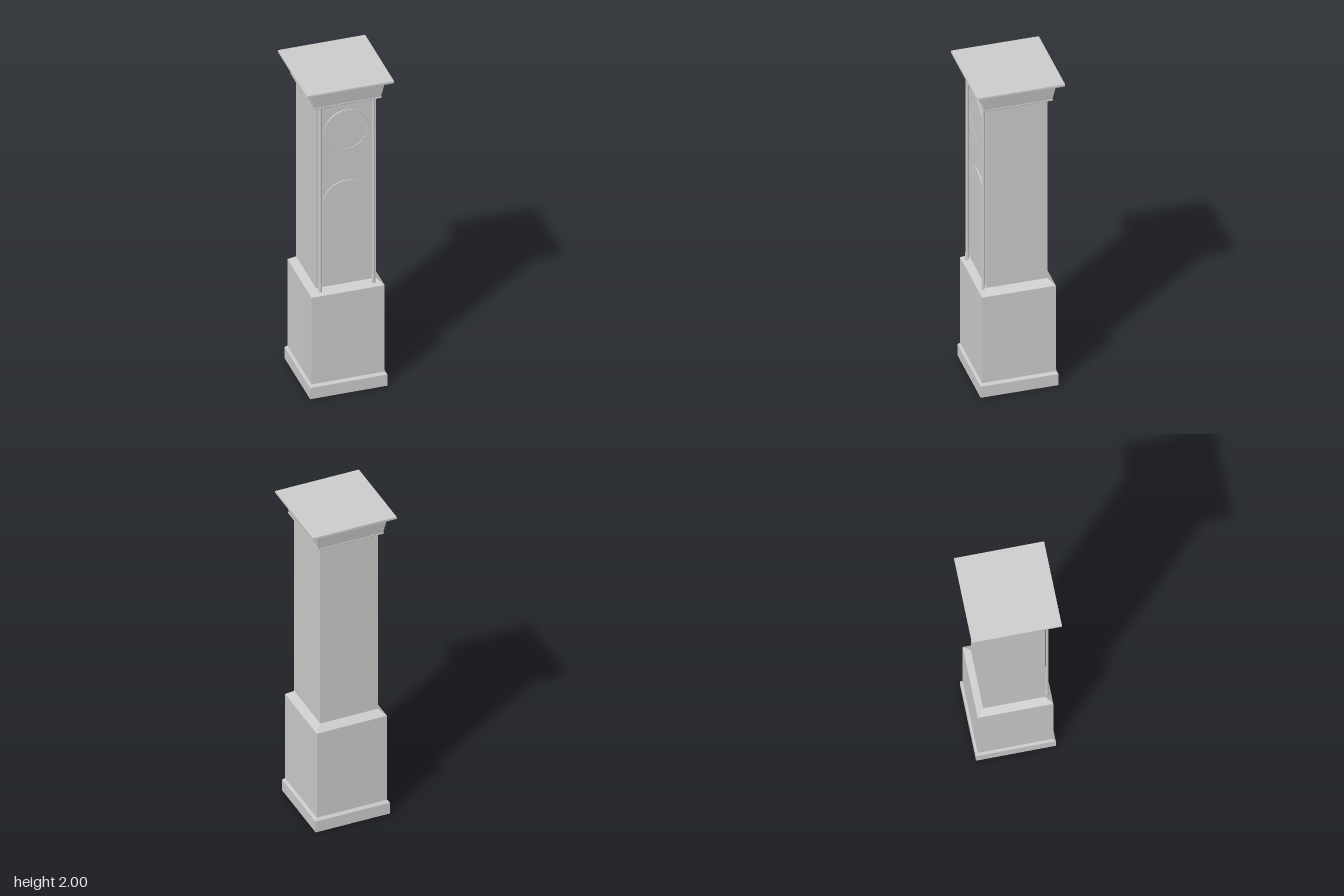
import * as THREE from 'three';

const material = new THREE.MeshStandardMaterial({ color: 0xcccccc, flatShading: true });
const smooth = new THREE.MeshStandardMaterial({ color: 0xcccccc });

function add(parent, name, geometry, mat = material) {
  const mesh = new THREE.Mesh(geometry, mat);
  mesh.name = name;
  parent.add(mesh);
  return mesh;
}

// Square moulding: profile of [half width, height], listed from bottom to top
function squareMoulding(profile) {
  const points = profile.map(([half, y]) => new THREE.Vector2(half * Math.SQRT2, y));
  return new THREE.LatheGeometry(points, 4).rotateY(Math.PI / 4);
}

export function createModel() {
  const clock = new THREE.Group();
  clock.name = 'longcaseClock';
  const front = 0.175;

  // Plinth with a sloped top edge
  add(clock, 'plinth', squareMoulding([[0, 0], [0.225, 0], [0.225, 0.073], [0.213, 0.088], [0, 0.088]]));

  // Lower case, sloping in to the trunk
  add(clock, 'lowerCase', squareMoulding([[0.213, 0.08], [0.213, 0.652], [0.175, 0.686], [0, 0.686]]));

  // Trunk
  add(clock, 'trunk', new THREE.BoxGeometry(0.35, 1.2, 0.35)).position.y = 1.28;

  // Flared cornice and top slab
  add(clock, 'cornice', squareMoulding([
    [0, 1.864], [0.193, 1.864], [0.2, 1.87], [0.2, 1.877], [0.197, 1.877], [0.215, 1.978], [0, 1.978],
  ]));
  add(clock, 'topSlab', squareMoulding([
    [0, 1.975], [0.238, 1.975], [0.254, 1.987], [0.254, 2], [0, 2],
  ]));

  // Arched door
  const arch = new THREE.Shape();
  arch.moveTo(-0.139, 0.72);
  arch.lineTo(0.139, 0.72);
  arch.lineTo(0.139, 1.22);
  arch.absarc(0, 1.22, 0.139, 0, Math.PI, false);
  arch.closePath();
  add(clock, 'door', new THREE.ExtrudeGeometry(arch, { depth: 0.007, bevelEnabled: false, curveSegments: 24 }))
    .position.z = front;

  // Dial with a thin rim
  const dial = add(clock, 'dial', new THREE.CylinderGeometry(0.128, 0.128, 0.006, 48).rotateX(Math.PI / 2));
  dial.position.set(0, 1.69, front + 0.003);
  const rim = add(clock, 'dialRim', new THREE.TorusGeometry(0.127, 0.003, 8, 48), smooth);
  rim.position.set(0, 1.69, front + 0.005);

  // Slender columns either side of the front
  for (const side of [-1, 1]) {
    const column = new THREE.Group();
    column.name = side > 0 ? 'leftColumn' : 'rightColumn';
    column.position.set(side * 0.155, 0, 0.189);
    add(column, 'shaft', new THREE.CylinderGeometry(0.009, 0.009, 1.2, 16), smooth).position.y = 1.27;
    add(column, 'foot', new THREE.CylinderGeometry(0.011, 0.011, 0.05, 16), smooth).position.y = 0.693;
    clock.add(column);
  }
  return clock;
}
